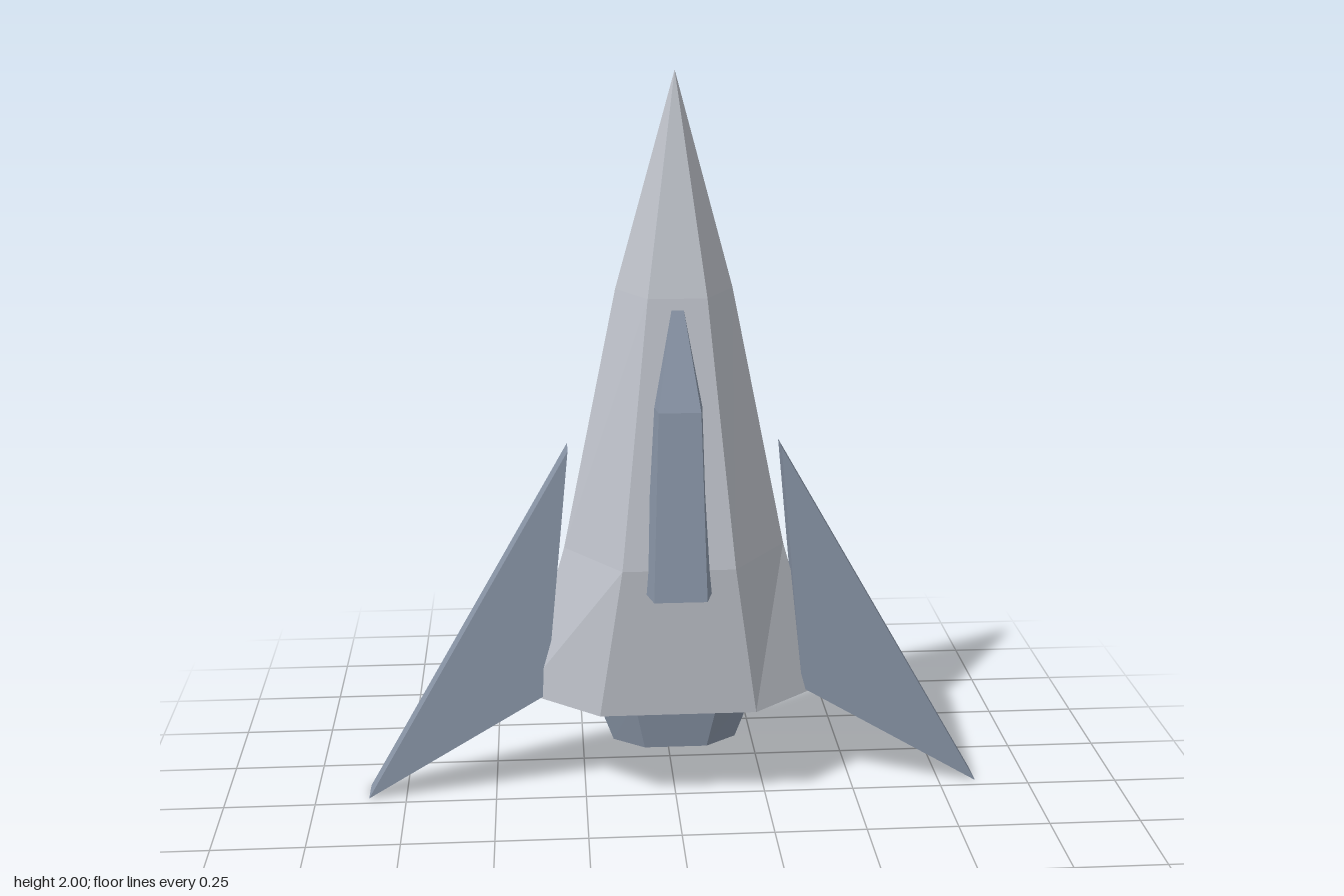
import * as THREE from 'three';

const hullGrey = new THREE.MeshStandardMaterial({ color: 0xc0c4cc, flatShading: true });
hullGrey.name = 'hullGrey';
const slateBlue = new THREE.MeshStandardMaterial({ color: 0x8a96a8, flatShading: true });
slateBlue.name = 'slateBlue';

// Six-sided section: half widths at front, side and back, with their depths
function hexRing(y, side, sideZ, frontX, frontZ, backX, backZ) {
  return [
    [-side, y, sideZ], [-frontX, y, frontZ], [frontX, y, frontZ],
    [side, y, sideZ], [backX, y, backZ], [-backX, y, backZ],
  ];
}

// Four-sided section, tapering from back to front
function quadRing(y, frontX, frontZ, backX, backZ) {
  return [[-backX, y, backZ], [-frontX, y, frontZ], [frontX, y, frontZ], [backX, y, backZ]];
}

// Skin the sections from bottom to top and close both ends
function loft(rings) {
  const pos = [];
  const tri = (a, b, c) => {
    const [A, B, C] = [a, b, c].map((p) => new THREE.Vector3(...p));
    if (new THREE.Triangle(A, B, C).getArea() > 1e-7) pos.push(...a, ...b, ...c);
  };
  const n = rings[0].length;
  for (let i = 0; i < rings.length - 1; i++) {
    const lo = rings[i], hi = rings[i + 1];
    for (let j = 0; j < n; j++) {
      const k = (j + 1) % n;
      tri(lo[j], lo[k], hi[k]);
      tri(lo[j], hi[k], hi[j]);
    }
  }
  const first = rings[0], last = rings[rings.length - 1];
  for (let j = 1; j < n - 1; j++) {
    tri(first[0], first[j + 1], first[j]);
    tri(last[0], last[j], last[j + 1]);
  }
  const g = new THREE.BufferGeometry();
  g.setAttribute('position', new THREE.Float32BufferAttribute(pos, 3));
  g.computeVertexNormals();
  return g;
}

export function createModel() {
  const model = new THREE.Group();
  model.name = 'spacecraft';
  const add = (name, geometry, material) => {
    const mesh = new THREE.Mesh(geometry, material);
    mesh.name = name;
    model.add(mesh);
  };

  // Faceted hull rising to a pointed nose
  add('hull', loft([
    hexRing(0.29, 0.42, -0.075, 0.212, 0.102, 0.212, -0.188),
    hexRing(0.715, 0.3, -0.072, 0.15, 0.138, 0.15, -0.2),
    hexRing(1.43, 0.155, -0.072, 0.077, 0.068, 0.077, -0.155),
    hexRing(2, 0, -0.043, 0, -0.043, 0, -0.043),
  ]), hullGrey);

  // Tapered engine block below the hull
  add('engine', loft([
    hexRing(0.148, 0.17, -0.063, 0.086, 0, 0.086, -0.127),
    hexRing(0.295, 0.225, -0.058, 0.115, 0.028, 0.115, -0.143),
  ]), slateBlue);

  // Raised canopy along the front
  add('canopy', loft([
    quadRing(0.648, 0.07, 0.198, 0.102, 0.07),
    quadRing(1.15, 0.055, 0.157, 0.068, 0.05),
    quadRing(1.4, 0.016, 0.072, 0.022, 0.02),
  ]), slateBlue);

  // Swept slab wings
  for (const s of [1, -1]) {
    const outline = new THREE.Shape([[0.287, 1], [0.355, 0.302], [0.854, 0.004]]
      .map(([x, y]) => new THREE.Vector2(s * x, y)));
    const wing = new THREE.ExtrudeGeometry(outline, { depth: 0.084, bevelEnabled: false });
    wing.translate(0, 0, -0.113);
    add(s > 0 ? 'leftWing' : 'rightWing', wing, slateBlue);
  }
  return model;
}
